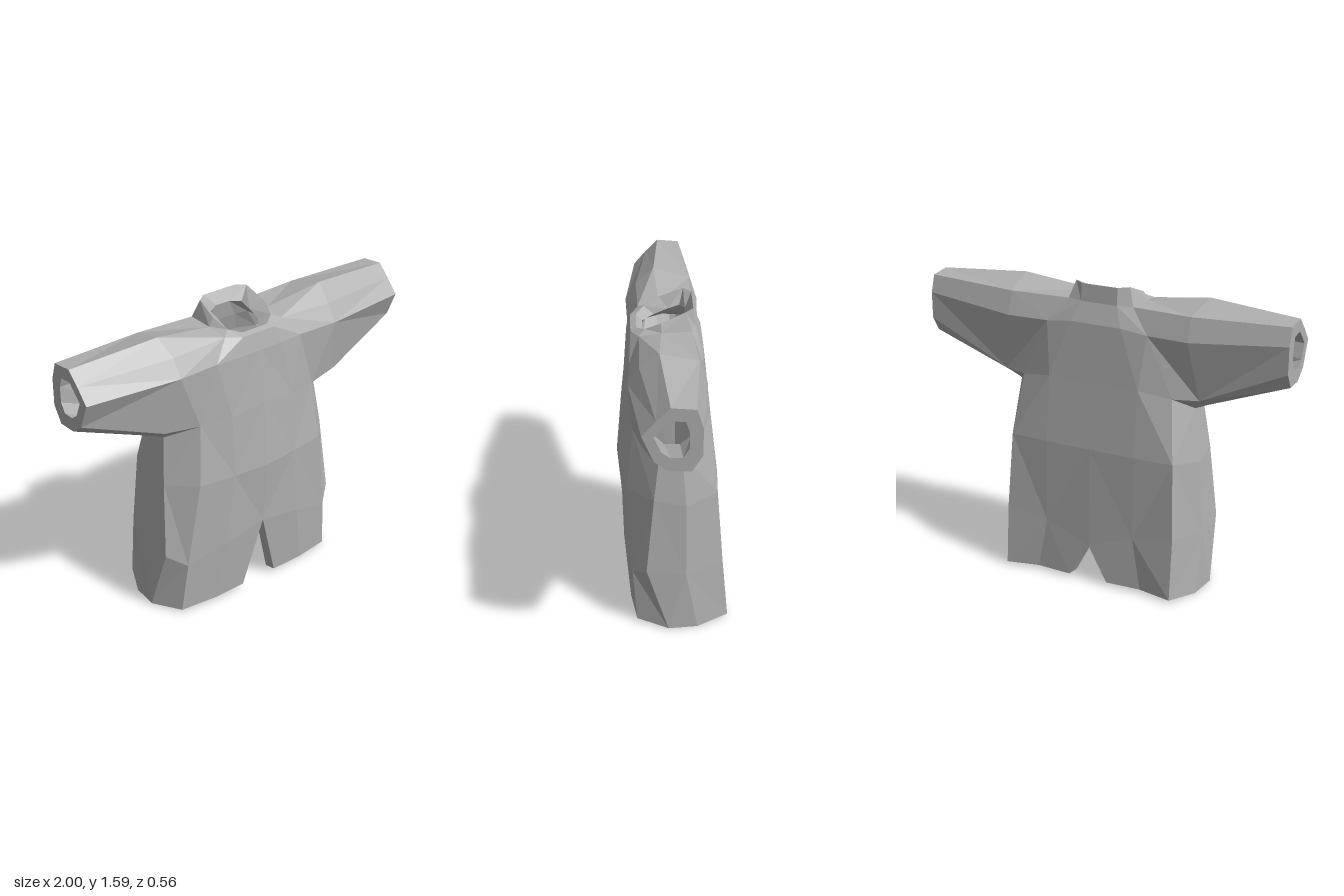
import * as THREE from 'three';

const cloth = new THREE.MeshStandardMaterial({ color: 0xb0b0b0, flatShading: true });
cloth.name = 'grey cloth';

// Faceted sheet through rows of points; side -1 mirrors it in x, flip turns it inside out
function sheet(name, rows, side, flip = false) {
  const out = [];
  const put = (...pts) => {
    if ((side < 0) !== flip) pts.reverse();
    pts.forEach(([x, y, z]) => out.push(x * side, y, z));
  };
  for (let i = 0; i < rows.length - 1; i++) {
    for (let j = 0; j < rows[i].length - 1; j++) {
      const a = rows[i][j], b = rows[i][j + 1], c = rows[i + 1][j + 1], d = rows[i + 1][j];
      if ((i + j) % 2) { put(a, b, c); put(a, c, d); }
      else { put(a, b, d); put(b, c, d); }
    }
  }
  const geo = new THREE.BufferGeometry();
  geo.setAttribute('position', new THREE.Float32BufferAttribute(out, 3));
  geo.computeVertexNormals();
  const mesh = new THREE.Mesh(geo, cloth);
  mesh.name = name;
  return mesh;
}

// Lining lies inside the outer cloth
const inset = ([x, y, z]) => [x * 0.9, y > 1.3 ? y - 0.06 : y, z * 0.76];
const insetRows = rows => rows.map(r => r.map(inset));
const shrinkRing = (ring, cy, cz, k) => ring.map(([x, y, z]) => [x, cy + (y - cy) * k, cz + (z - cz) * k]);
const closed = ring => [...ring, ring[0]];

// Half body, hem to armpit: each row runs front centre, side, back centre
const body = [
  [[.11, .02, .22], [.3, .02, .22], [.5, .015, .19], [.58, .005, .03], [.56, 0, -.12], [.48, .015, -.28], [.3, .02, -.25], [.11, .02, -.26]],
  [[0, .4, .25], [.24, .36, .25], [.47, .29, .21], [.56, .35, .14], [.565, .33, -.06], [.48, .35, -.25], [.25, .3, -.24], [0, .21, -.25]],
  [[0, .75, .28], [.2, .75, .26], [.4, .75, .23], [.53, .75, .1], [.54, .72, -.06], [.46, .75, -.22], [.25, .75, -.23], [0, .75, -.23]],
  [[0, 1.1, .25], [.2, 1.08, .24], [.37, 1.07, .2], [.5, 1, .07], [.5, 1, -.04], [.42, 1.07, -.15], [.25, 1.1, -.19], [0, 1.1, -.19]],
];

// Chest and upper back, between the sleeves
const chest = [
  body[3].slice(0, 3),
  [[0, 1.38, .22], [.14, 1.38, .22], [.27, 1.38, .21]],
  [[0, 1.47, .2], [.1, 1.47, .2], [.18, 1.48, .16]],
];
const upperBack = [
  body[3].slice(5),
  [[.28, 1.38, -.15], [.14, 1.4, -.16], [0, 1.4, -.16]],
  [[.18, 1.5, -.1], [.1, 1.5, -.12], [0, 1.5, -.12]],
];

// Sleeve rings run top, front, bottom, back
const shoulderTop = [.19, 1.5, .05];
const root = [
  shoulderTop, chest[2][2], chest[1][2], ...body[3].slice(2, 6), upperBack[1][0], upperBack[2][0],
];
const elbow = [
  [.52, 1.55, .07], [.5, 1.47, .165], [.5, 1.38, .22], [.56, 1.08, .16], [.57, 1.03, .06],
  [.57, 1.03, -.04], [.55, 1.07, -.11], [.5, 1.38, -.16], [.5, 1.5, -.12],
];
const cuff = [
  [1, 1.52, .035], [1, 1.455, .1], [1, 1.38, .165], [1, 1.25, .11], [1, 1.2, .04],
  [1, 1.2, -.06], [1, 1.28, -.11], [1, 1.42, -.11], [1, 1.51, -.08],
];
const cuffHole = shrinkRing(cuff, 1.367, .034, .58);

// Collar: neck base, standing edge, inner edge, then down to the lining
const neckBase = [...chest[2], shoulderTop, ...upperBack[2]];
const collarEdge = [[0, 1.48, .17], [.08, 1.48, .17], [.14, 1.5, .13], [.165, 1.54, .05], [.15, 1.59, -.07], [.1, 1.59, -.11], [0, 1.59, -.11]];
const collarInner = [[0, 1.46, .14], [.05, 1.46, .14], [.1, 1.47, .08], [.1, 1.5, .01], [.1, 1.52, -.05], [.04, 1.53, -.075], [0, 1.53, -.075]];

export function createModel() {
  const model = new THREE.Group();
  model.name = 'tunic';
  for (const s of [1, -1]) {
    const half = new THREE.Group();
    half.name = s > 0 ? 'leftHalf' : 'rightHalf';
    const lining = insetRows(body);
    const column = (rows, c) => [rows[0][c], rows[1][c]];
    half.add(
      // Torso, outside and lining
      sheet('body', body, s),
      sheet('bodyLining', lining, s, true),
      sheet('chest', chest, s),
      sheet('chestLining', insetRows(chest), s, true),
      sheet('upperBack', upperBack, s),
      sheet('upperBackLining', insetRows(upperBack), s, true),
      // Thickness of the hem and of the slits
      sheet('hem', [lining[0], body[0]], s),
      sheet('frontSlit', [column(body, 0), column(lining, 0)], s),
      sheet('backSlit', [column(lining, 7), column(body, 7)], s),
      // Hollow sleeve
      sheet('sleeve', [root, elbow, cuff].map(closed), s),
      sheet('sleeveLining', [root.map(inset), shrinkRing(elbow, 1.3, .02, .76), cuffHole].map(closed), s, true),
      sheet('cuff', [cuff, cuffHole].map(closed), s),
      sheet('collar', [neckBase, collarEdge, collarInner, neckBase.map(inset)], s),
    );
    model.add(half);
  }
  return model;
}
